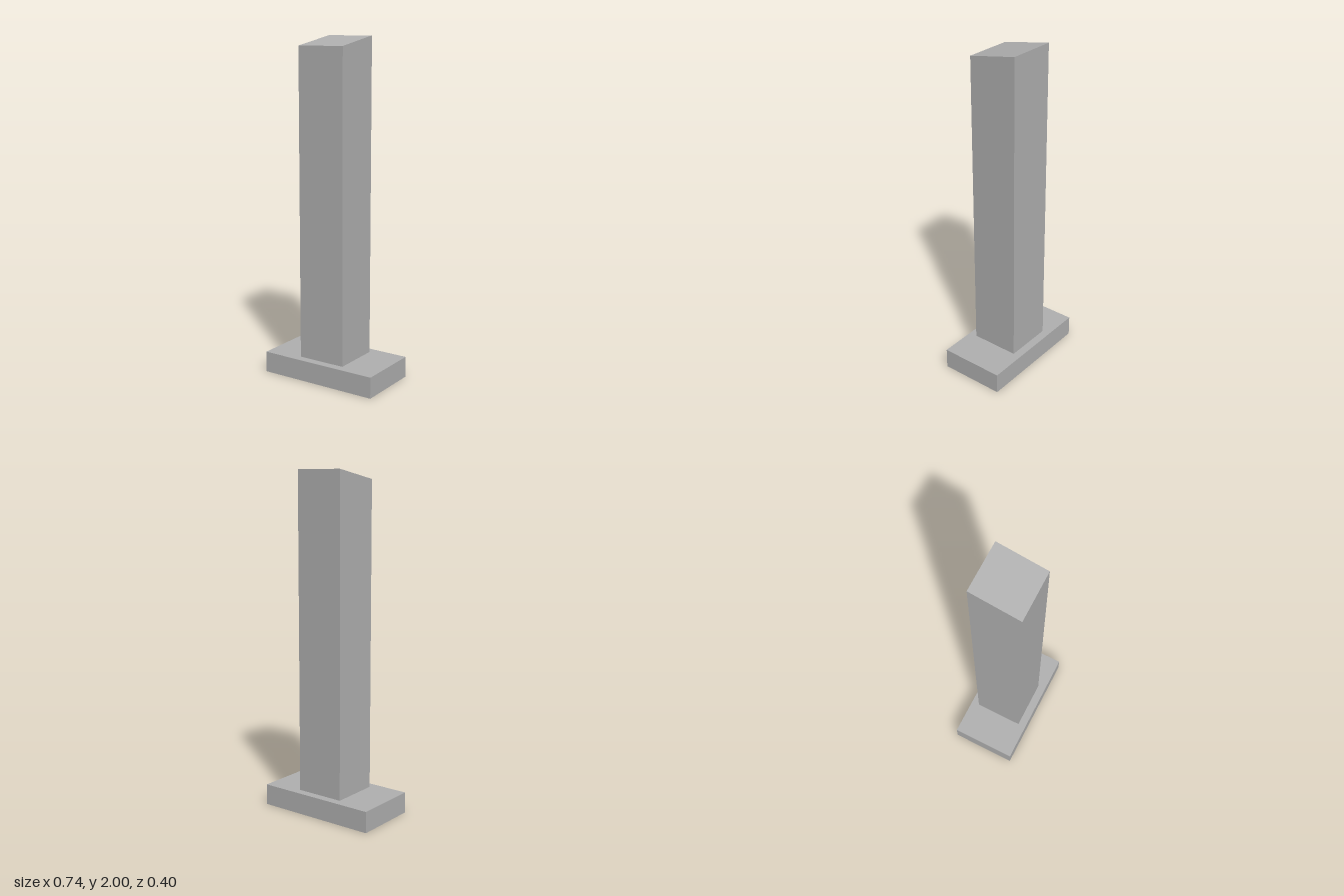
import * as THREE from 'three';
import { toCreasedNormals } from 'three/addons/utils/BufferGeometryUtils.js';

const BASE = { w: 0.74, h: 0.125, d: 0.395 };
const HOLE = { x: 0.2, r: 0.075, depth: 0.08 };
const POST = { half: 0.148, front: 1.945, back: 2 };

export function createModel() {
  const model = new THREE.Group();
  model.name = 'post';
  const grey = new THREE.MeshStandardMaterial({ color: 0xb0b0b0 });
  grey.name = 'grey';

  const add = (name, geometry, parent) => {
    const mesh = new THREE.Mesh(geometry, grey);
    mesh.name = name;
    parent.add(mesh);
  };

  const base = new THREE.Group();
  base.name = 'base';
  model.add(base);

  // Lower slab, pierced by two round sockets that open downwards
  const w = BASE.w / 2, d = BASE.d / 2;
  const slab = new THREE.Shape([[-w, -d], [w, -d], [w, d], [-w, d]].map(p => new THREE.Vector2(...p)));
  for (const side of [-1, 1]) {
    slab.holes.push(new THREE.Path().absarc(side * HOLE.x, 0, HOLE.r, 0, Math.PI * 2, true));
  }
  const lower = new THREE.ExtrudeGeometry(slab, { depth: HOLE.depth, bevelEnabled: false, curveSegments: 32 });
  lower.rotateX(-Math.PI / 2);
  add('baseSockets', toCreasedNormals(lower, 0.6), base);

  // Upper slab closes the sockets
  const capHeight = BASE.h - HOLE.depth;
  const cap = new THREE.BoxGeometry(BASE.w, capHeight, BASE.d);
  cap.translate(0, HOLE.depth + capHeight / 2, 0);
  add('baseTop', cap, base);

  // Square shaft with a top that slopes down towards the front
  const s = POST.half;
  const height = POST.back - BASE.h;
  const shaft = new THREE.BoxGeometry(2 * s, height, 2 * s);
  shaft.translate(0, BASE.h + height / 2, 0);
  const pos = shaft.attributes.position;
  for (let i = 0; i < pos.count; i++) {
    if (pos.getY(i) > 1 && pos.getZ(i) > 0) pos.setY(i, POST.front);
  }
  shaft.computeVertexNormals();
  add('shaft', shaft, model);

  return model;
}
